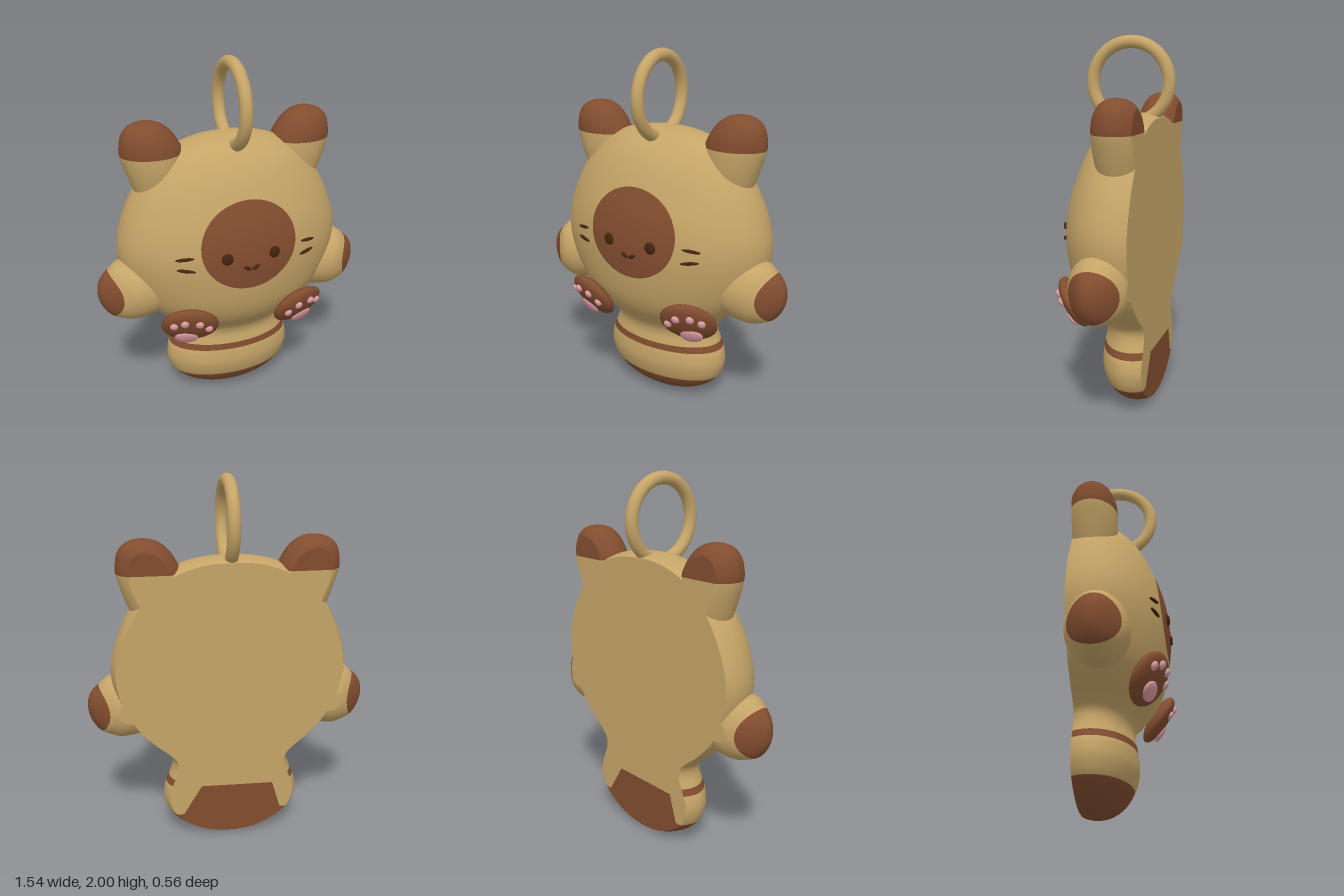
import * as THREE from 'three';

const BACK = -0.2; // everything is cut flat on this plane
const mat = (name, color) => Object.assign(new THREE.MeshStandardMaterial({ color }), { name });

// Rows: [position, centre, half width, z centre, z radius, bow]; cubic in between
function sampler(rows) {
  const f = new THREE.CubicInterpolant(rows.map((r, i) => i), rows.flat(), rows[0].length);
  return (u) => Array.from(f.evaluate(u));
}

// Loft of ellipses along y (or x), cut flat at the back. Each row step has a
// front and a back material index.
function loft(rows, front, back, { alongX = false, side = 1, steps = 5, seg = 56 } = {}) {
  const at = sampler(rows), n = (rows.length - 1) * steps;
  const pos = [], idx = [], geo = new THREE.BufferGeometry();
  const flip = alongX !== (side < 0);
  const put = ([s, c, a, cz, rz, bow = 0], t) => {
    const along = s + bow * Math.sin(t) ** 2, across = c + Math.max(a, 0) * Math.sin(t);
    const [x, y] = alongX ? [along, across] : [across, along];
    pos.push(side * x, y, cz + Math.max(rz, 0) * Math.cos(t));
  };
  for (let i = 0; i <= n; i++) {
    const r = at(i / steps);
    const tm = Math.acos(THREE.MathUtils.clamp((BACK - r[3]) / Math.max(r[4], 1e-5), -1, 1));
    for (let j = 0; j <= seg; j++) put(r, tm * (2 * j / seg - 1));
    put(r, tm); // own corners for the flat back keep its rim sharp
    put(r, -tm);
  }
  const w = seg + 3;
  const quad = (a, b) => {
    const q = [a, b, b + w, a, b + w, a + w];
    idx.push(...(flip ? q.reverse() : q));
  };
  for (let i = 0; i < n; i++) {
    const k = Math.floor(i / steps);
    for (let j = 0; j < seg; j++) quad(i * w + j, i * w + j + 1);
    geo.addGroup(idx.length - seg * 6, seg * 6, front(k));
    quad(i * w + seg + 1, i * w + seg + 2);
    geo.addGroup(idx.length - 6, 6, back(k));
  }
  geo.setAttribute('position', new THREE.Float32BufferAttribute(pos, 3));
  geo.setIndex(idx);
  geo.computeVertexNormals();
  return geo;
}

const BODY = [
  [0.005, 0, 0, -0.13, 0], [0.03, 0, 0.16, -0.13, 0.085], [0.08, 0, 0.27, -0.12, 0.14],
  [0.15, 0, 0.345, -0.12, 0.185], [0.23, 0, 0.375, -0.12, 0.21], [0.295, 0, 0.372, -0.12, 0.21],
  [0.333, 0, 0.36, -0.12, 0.205], [0.37, 0, 0.345, -0.12, 0.2], [0.43, 0, 0.325, -0.12, 0.19],
  [0.48, 0, 0.328, -0.12, 0.205], [0.53, 0, 0.37, -0.115, 0.24], [0.6, 0, 0.45, -0.11, 0.295],
  [0.7, 0, 0.54, -0.1, 0.33], [0.85, 0, 0.612, -0.1, 0.358], [1.0, 0, 0.635, -0.1, 0.367],
  [1.15, 0, 0.605, -0.1, 0.35], [1.3, 0, 0.54, -0.1, 0.305], [1.42, 0, 0.455, -0.1, 0.255],
  [1.5, 0, 0.37, -0.1, 0.2], [1.56, 0, 0.25, -0.1, 0.13], [1.588, 0, 0.13, -0.1, 0.065],
  [1.598, 0, 0, -0.1, 0],
];
const EAR = [
  [1.25, 0.37, 0.12, -0.1, 0.1], [1.33, 0.385, 0.14, -0.1, 0.115], [1.43, 0.405, 0.155, -0.1, 0.128],
  [1.52, 0.418, 0.167, -0.1, 0.13], [1.58, 0.43, 0.153, -0.1, 0.124], [1.63, 0.44, 0.13, -0.1, 0.105],
  [1.665, 0.445, 0.095, -0.1, 0.08], [1.685, 0.445, 0.052, -0.1, 0.045], [1.693, 0.445, 0, -0.1, 0],
];
const ARM = [
  [0.35, 0.79, 0.15, -0.05, 0.13, 0.06], [0.45, 0.785, 0.17, -0.05, 0.15, 0.06],
  [0.54, 0.78, 0.175, -0.05, 0.158, 0.06], [0.6, 0.783, 0.16, -0.05, 0.152, 0.06],
  [0.65, 0.775, 0.13, -0.05, 0.13, 0.055], [0.695, 0.778, 0.1, -0.05, 0.1, 0.04],
  [0.735, 0.782, 0.066, -0.05, 0.066, 0.02], [0.76, 0.785, 0.033, -0.05, 0.033, 0.005],
  [0.768, 0.785, 0, -0.05, 0, 0],
];

// Front surface of the body at x, y
const bodyAt = sampler(BODY);
function bodyZ(x, y) {
  let k = 0;
  while (k < BODY.length - 2 && BODY[k + 1][0] < y) k++;
  const [, , a, cz, rz] = bodyAt(k + (y - BODY[k][0]) / (BODY[k + 1][0] - BODY[k][0]));
  return cz + rz * Math.sqrt(Math.max(0, 1 - (x / a) ** 2));
}

export function createModel() {
  const tan = mat('tan fur', 0xc5a467), brown = mat('brown fur', 0x824d2f);
  const dark = mat('dark brown', 0x44240f), pink = mat('pink pads', 0xdc9aa2);
  const fur = [tan, brown];
  const model = new THREE.Group();
  const add = (parent, name, geo, material) => {
    const m = new THREE.Mesh(geo, material);
    m.name = name;
    parent.add(m);
    return m;
  };
  const ball = new THREE.SphereGeometry(1, 32, 20);
  const blob = (parent, name, material, p, r, rotZ = 0) => {
    const m = add(parent, name, ball, material);
    m.position.set(...p);
    m.scale.set(...r);
    m.rotation.z = rotZ;
    return m;
  };

  // Head, body and striped tail in one piece
  add(model, 'bodyAndTail', loft(BODY, (k) => (k < 3 || k === 6 ? 1 : 0), (k) => (k < 3 ? 1 : 0)), fur);

  // Brown patch on the flat back of the tail
  const patch = new THREE.Shape([[-0.28, 0.14], [0.28, 0.14], [0.17, 0.32], [-0.23, 0.31]]
    .map(([x, y]) => new THREE.Vector2(-x, y)));
  const tailPatch = add(model, 'tailBackPatch', new THREE.ShapeGeometry(patch), brown);
  tailPatch.rotation.y = Math.PI;
  tailPatch.position.z = BACK - 0.003;

  // Face patch laid over the body
  const face = new THREE.RingGeometry(0, 1, 64, 12).scale(0.265, 0.243, 1);
  const p = face.attributes.position;
  for (let i = 0; i < p.count; i++) {
    const x = p.getX(i), y = p.getY(i) + 1.073;
    p.setXYZ(i, x, y, bodyZ(x, y) + 0.004);
  }
  face.computeVertexNormals();
  add(model, 'facePatch', face, brown);

  for (const side of [1, -1]) {
    const label = side > 0 ? 'left' : 'right';
    add(model, label + 'Ear', loft(EAR, (k) => (k > 2 ? 1 : 0), (k) => (k > 2 ? 1 : 0), { side }), fur);
    add(model, label + 'Arm',
      loft(ARM, (k) => (k > 3 ? 1 : 0), (k) => (k > 3 ? 1 : 0), { side, alongX: true }), fur);

    // Eye, whiskers and half of the mouth
    const onFace = (name, x, y, r, rotZ) => {
      const m = blob(model, label + name, dark, [side * x, y, bodyZ(x, y) + 0.004], r, side * rotZ);
      m.rotation.order = 'YXZ';
      m.rotation.y = side * Math.atan2(bodyZ(x - 0.02, y) - bodyZ(x + 0.02, y), 0.04);
    };
    onFace('Eye', 0.132, 1.023, [0.031, 0.033, 0.015], 0);
    onFace('UpperWhisker', 0.348, 1.034, [0.05, 0.009, 0.01], -0.12);
    onFace('LowerWhisker', 0.342, 0.968, [0.05, 0.009, 0.01], 0.12);
    onFace('MouthCurve', 0.024, 0.957, [0.023, 0.011, 0.012], 0.5);

    // Foot tilted outward and down, with pads on its sole
    const foot = new THREE.Group();
    foot.name = label + 'Foot';
    foot.position.set(side * 0.32, 0.617, 0.175);
    foot.rotation.set(0.55, side * 0.25, 0);
    model.add(foot);
    blob(foot, 'sole', brown, [0, 0, 0], [0.157, 0.143, 0.052], side * -0.3);
    const pad = (name, x, y, r) =>
      blob(foot, name, pink, [side * x, y, 0.052 * Math.sqrt(1 - (x * x + y * y) / 0.0235)], r);
    pad('mainPad', 0.012, -0.06, [0.063, 0.052, 0.018]);
    [[-0.098, 0.032], [-0.042, 0.078], [0.038, 0.078], [0.092, 0.04]]
      .forEach(([x, y]) => pad('toePad', x, y, [0.022, 0.025, 0.016]));
  }

  // Hanging ring
  const ring = add(model, 'hangingRing', new THREE.TorusGeometry(0.211, 0.034, 20, 64), tan);
  ring.rotation.y = Math.PI / 2;
  ring.position.set(0, 1.755, -0.035);

  return model;
}
